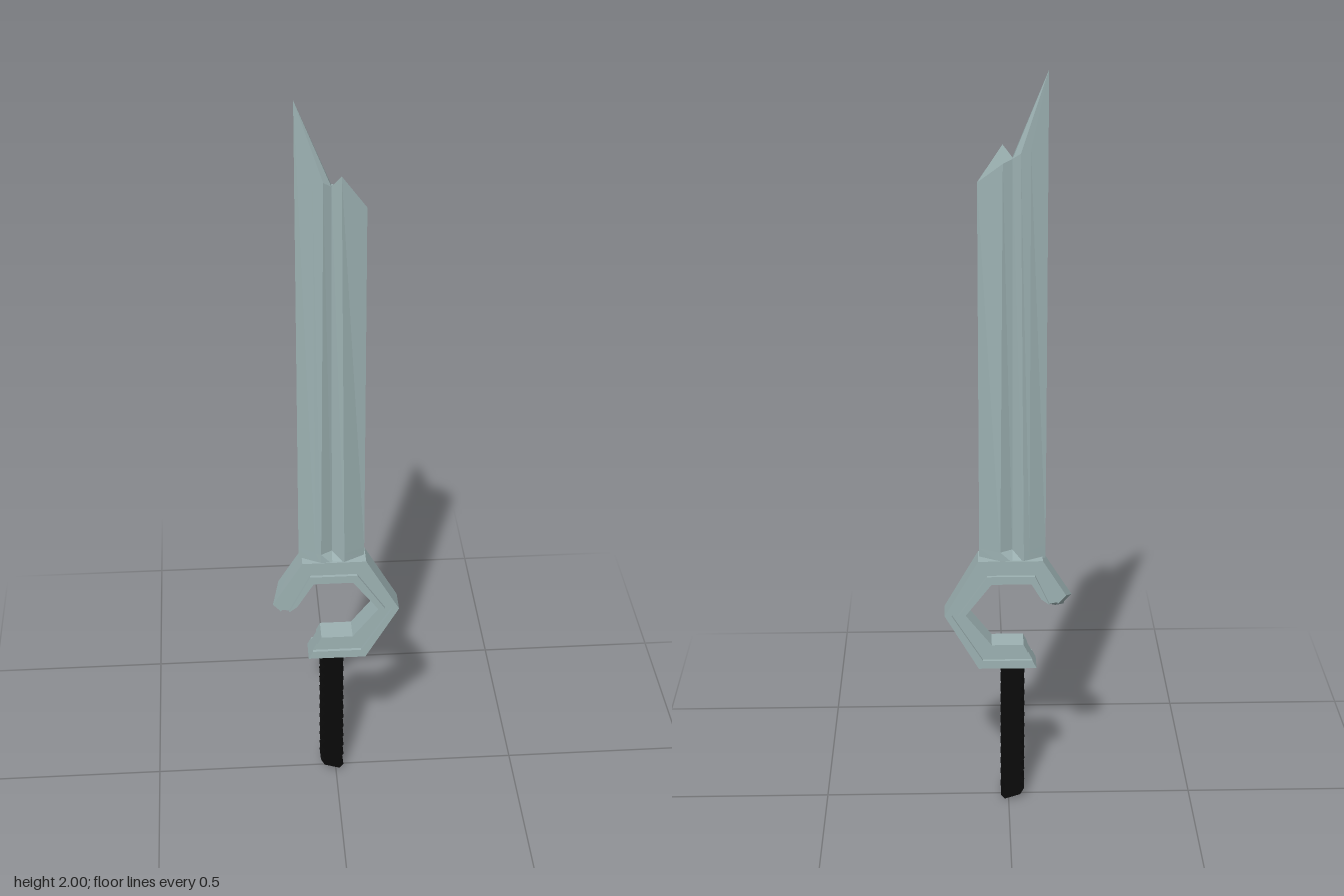
import * as THREE from 'three';

const steel = new THREE.MeshStandardMaterial({ color: 0x9cb1b2 });
steel.name = 'steel';
const black = new THREE.MeshStandardMaterial({ color: 0x0a0a0a });
black.name = 'blackGrip';

// Joins matching rings of points with flat faces and closes both ends
function loft(rings, contour) {
  const pos = [];
  const tri = (...pts) => pts.forEach((p) => pos.push(...p));
  const n = contour.length;
  for (let r = 0; r < rings.length - 1; r++) {
    const a = rings[r], b = rings[r + 1];
    for (let i = 0; i < n; i++) {
      const j = (i + 1) % n;
      tri(a[i], b[i], b[j]);
      tri(a[i], b[j], a[j]);
    }
  }
  const first = rings[0], last = rings[rings.length - 1];
  const outline = contour.map(([u, v]) => new THREE.Vector2(u, v));
  for (const [a, b, c] of THREE.ShapeUtils.triangulateShape(outline, [])) {
    tri(first[a], first[b], first[c]);
    tri(last[a], last[c], last[b]);
  }
  const geo = new THREE.BufferGeometry();
  geo.setAttribute('position', new THREE.Float32BufferAttribute(pos, 3));
  geo.computeVertexNormals();
  return geo;
}

function addMesh(group, name, geo, material) {
  const mesh = new THREE.Mesh(geo, material);
  mesh.name = name;
  group.add(mesh);
}

// Tapered blade with a central groove and a broken, jagged top
function bladeGeometry() {
  const lerp = THREE.MathUtils.lerp;
  // [base x, base z, top x, top z, top y], from the left to the right edge
  const front = [
    [-0.098, 0, -0.098, 0, 2.0],
    [-0.055, 0.024, -0.055, 0.013, 1.81],
    [-0.04, 0.032, -0.03, 0.02, 1.8],
    [-0.01, 0.012, -0.01, 0.009, 1.785],
    [0.022, 0.032, 0.014, 0.019, 1.815],
    [0.077, 0, 0.077, 0, 1.725],
  ];
  const back = front.map(([x, z, tx, tz, ty], i) => [x, -z, tx, -tz, i === 4 ? 1.775 : ty]);
  const profile = [...back, ...front.slice(1, 5).reverse()];
  const ring = (f, filled) => profile.map(([x, z, tx, tz, ty]) => {
    const isGroove = x === -0.01;
    const depth = filled && isGroove ? Math.sign(z) * 0.032 : lerp(z, tz, f);
    return [lerp(x, tx, f), lerp(0.715, ty, f), depth];
  });
  return loft([ring(0, true), ring(0.028, false), ring(1, false)],
    profile.map((p) => [p[2], p[3]]));
}

// Open six-sided guard with a channel along both faces
function guardGeometry() {
  const half = [[0, 0.034], [0.33, 0.034], [0.33, 0.025], [0.67, 0.025], [0.67, 0.034], [1, 0.034]];
  const contour = [...half.map(([t, z]) => [t, -z]), ...half.slice().reverse()];
  // Outer and inner corner of each station: [outer x, outer y, inner x, inner y]
  const stations = [
    [-0.17, 0.592, -0.105, 0.58],
    [-0.09, 0.72, -0.06, 0.653],
    [0.08, 0.72, 0.045, 0.653],
    [0.17, 0.562, 0.114, 0.563],
    [0.08, 0.405, 0.045, 0.475],
    [-0.075, 0.405, -0.04, 0.475],
  ];
  const rings = stations.map(([ox, oy, ix, iy], s) => contour.map(([t, z]) => {
    let x = ox + (ix - ox) * t, y = oy + (iy - oy) * t;
    if (s === 0) {
      // Ragged broken end, cut back towards the rear
      if (t > 0 && t < 1) y -= 0.02;
      if (z < 0) { x += 0.018; y += 0.028; }
    }
    return [x, y, z];
  }));
  return loft(rings, contour);
}

// Grip with notched sides and a slanted bottom
function gripGeometry() {
  const teeth = 12, top = 0.408, bottom = 0.012, cx = -0.011;
  const step = (top - bottom) / (teeth * 2);
  const left = [], right = [];
  for (let i = 0; i <= teeth * 2; i++) {
    const w = i % 2 ? 0.032 : 0.021;
    left.push(new THREE.Vector2(cx - w, bottom + i * step));
    right.push(new THREE.Vector2(cx + w, bottom + i * step));
  }
  const geo = new THREE.ExtrudeGeometry(new THREE.Shape([...right, ...left.reverse()]),
    { depth: 0.062, bevelEnabled: false });
  geo.translate(0, 0, -0.031);
  const p = geo.attributes.position;
  for (let i = 0; i < p.count; i++) {
    const y = p.getY(i);
    if (y < 0.04) {
      const slant = (p.getZ(i) / 0.031) * 0.005 - (p.getX(i) - cx) * 0.33;
      p.setY(i, Math.max(0, y + slant));
    }
  }
  geo.computeVertexNormals();
  return geo;
}

export function createModel() {
  const sword = new THREE.Group();
  sword.name = 'brokenSword';
  addMesh(sword, 'blade', bladeGeometry(), steel);
  addMesh(sword, 'guard', guardGeometry(), steel);
  addMesh(sword, 'grip', gripGeometry(), black);
  return sword;
}
